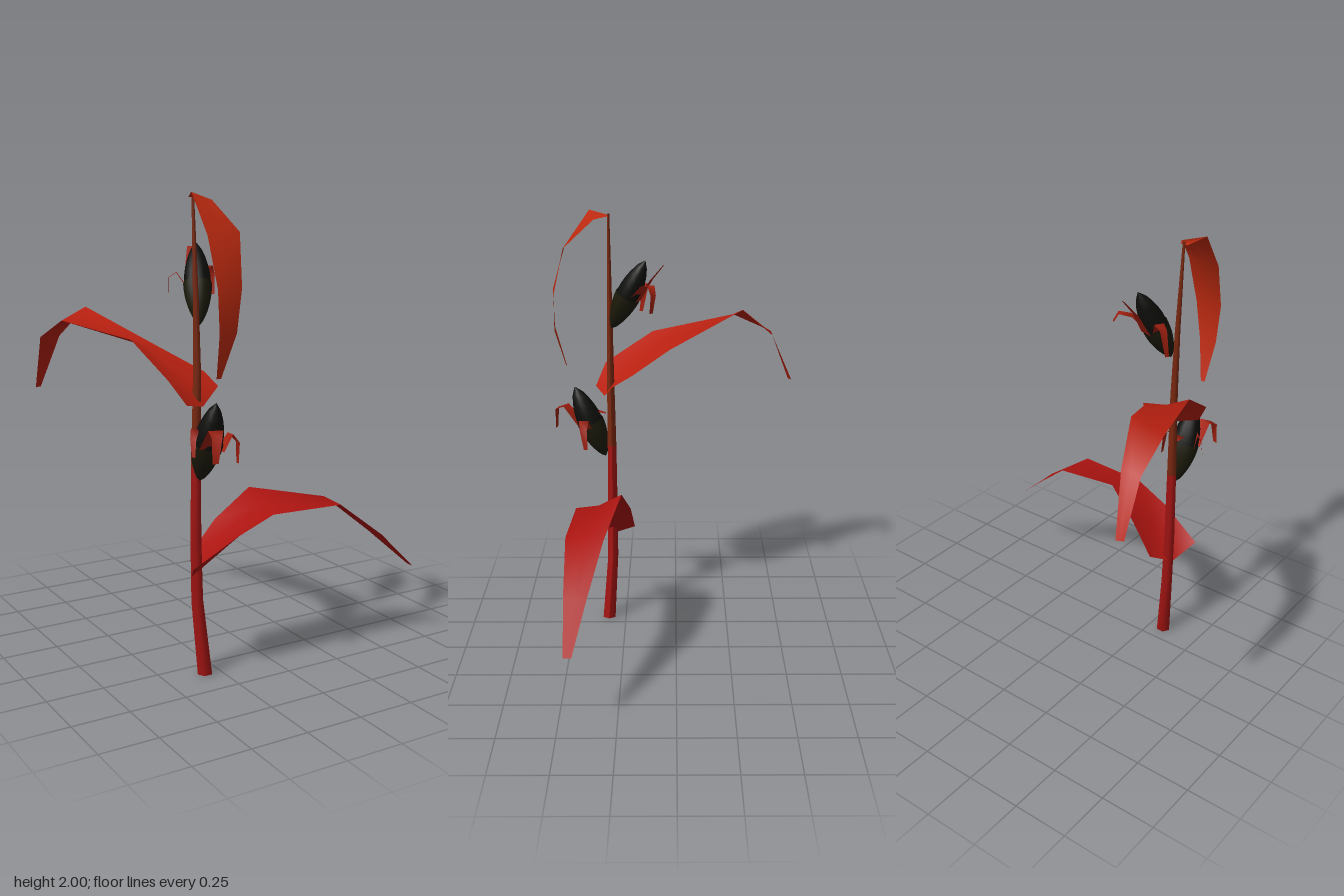
import * as THREE from 'three';

const V = (p) => new THREE.Vector3(...p);
const paint = (color) => new THREE.MeshStandardMaterial({ color, side: THREE.DoubleSide });

// Surface through rows of points, every row having the same count
function loft(name, rows, material) {
  const n = rows[0].length, index = [];
  for (let i = 0; i < rows.length - 1; i++)
    for (let j = 0; j < n - 1; j++) {
      const a = i * n + j, b = a + n;
      index.push(a, b, a + 1, a + 1, b, b + 1);
    }
  const geo = new THREE.BufferGeometry().setFromPoints(rows.flat());
  geo.setIndex(index);
  geo.computeVertexNormals();
  const mesh = new THREE.Mesh(geo, material);
  mesh.name = name;
  return mesh;
}

// Leaf blade: each section is [one edge, other edge, depth of the middle fold]
function blade(name, sections, material) {
  return loft(name, sections.map(([a, b, sag = 0]) => {
    const l = V(a), r = V(b), m = l.clone().lerp(r, 0.5);
    m.y -= sag;
    return [l, m, r];
  }), material);
}

// Narrow peeled husk strip along a path, tapering to its end
function strip(path, width, material) {
  const pts = path.map(V);
  const out = pts[pts.length - 1].clone().sub(pts[0]).setY(0).normalize();
  const side = new THREE.Vector3(-out.z, 0, out.x);
  const rows = pts.map((p, i) => {
    const w = width * (1 - 0.7 * i / (pts.length - 1)) / 2;
    return [p.clone().addScaledVector(side, -w), p.clone().addScaledVector(side, w)];
  });
  return loft('huskTip', rows, material);
}

// Ear: dark cob, husk cup round its lower part and peeled husk tips
function ear(name, base, top, radius, tips) {
  const group = new THREE.Group();
  group.name = name;
  const from = V(base), axis = V(top).sub(from), len = axis.length();
  const turn = new THREE.Quaternion().setFromUnitVectors(new THREE.Vector3(0, 1, 0), axis.normalize());
  const shell = (part, end, r, color) => {
    const profile = [];
    for (let i = 0; i <= 10; i++) {
      const t = end * i / 10;
      profile.push(new THREE.Vector2(r * Math.pow(Math.sin(Math.PI * t), 0.7) + 1e-4, t * len));
    }
    const mesh = new THREE.Mesh(new THREE.LatheGeometry(profile, 12), paint(color));
    mesh.name = part;
    mesh.position.copy(from);
    mesh.quaternion.copy(turn);
    group.add(mesh);
  };
  shell('cob', 1, radius, 0x0e0e0c);
  shell('huskCup', 0.5, radius * 1.06, 0x1c1a0a);
  const red = paint(0xa02010);
  tips.forEach(([width, ...path]) => group.add(strip(path, width, red)));
  return group;
}

export function createModel() {
  const model = new THREE.Group();

  // Stalk: hexagonal rings, lower part redder than the upper
  const ring = ([x, y, z, r]) => Array.from({ length: 7 }, (_, k) => {
    const a = (k % 6) * Math.PI / 3;
    return new THREE.Vector3(x + r * Math.cos(a), y, z + r * Math.sin(a));
  });
  const lower = [[-0.318, 0, 0.333, 0.034], [-0.34, 0.32, 0.31, 0.028], [-0.343, 0.57, 0.307, 0.026], [-0.34, 0.9, 0.305, 0.023]];
  const upper = [[-0.34, 0.9, 0.305, 0.023], [-0.332, 1.3, 0.305, 0.018], [-0.335, 1.6, 0.303, 0.013], [-0.345, 1.99, 0.302, 0.006]];
  model.add(loft('lowerStalk', lower.map(ring), paint(0xa01412)));
  model.add(loft('upperStalk', upper.map(ring), paint(0x7a2810)));
  const foot = new THREE.Mesh(new THREE.CircleGeometry(0.034, 6), paint(0xa01412));
  foot.name = 'stalkFoot';
  foot.position.set(-0.318, 0, 0.333);
  foot.rotation.x = Math.PI / 2;
  model.add(foot);

  // Leaves
  model.add(blade('lowerLeaf', [
    [[-0.42, 0.50, 0.42], [-0.31, 0.49, 0.20], 0.065],
    [[-0.22, 0.62, 0.45], [-0.20, 0.63, 0.215], 0.02],
    [[-0.06, 0.69, 0.46], [-0.05, 0.76, 0.25], 0.02],
    [[0.27, 0.69, 0.48], [0.30, 0.685, 0.315]],
    [[0.50, 0.52, 0.475], [0.50, 0.515, 0.375]],
    [[0.69, 0.34, 0.465], [0.69, 0.34, 0.43]],
  ], paint(0xac1410)));
  model.add(blade('middleLeaf', [
    [[-0.42, 1.17, 0.38], [-0.225, 1.22, 0.29], 0.045],
    [[-0.48, 1.27, 0.335], [-0.24, 1.27, 0.20], 0.03],
    [[-0.53, 1.41, 0.11], [-0.36, 1.36, 0.03], 0.01],
    [[-0.67, 1.46, -0.28], [-0.54, 1.51, -0.32]],
    [[-0.695, 1.37, -0.47], [-0.605, 1.37, -0.47]],
    [[-0.69, 1.13, -0.56], [-0.66, 1.13, -0.575]],
  ], paint(0xb82010)));
  model.add(blade('topLeaf', [
    [[-0.365, 1.98, 0.30], [-0.33, 1.98, 0.30]],
    [[-0.40, 2.0, 0.39], [-0.295, 1.97, 0.365]],
    [[-0.395, 1.84, 0.505], [-0.25, 1.85, 0.50]],
    [[-0.385, 1.64, 0.565], [-0.27, 1.64, 0.55]],
    [[-0.375, 1.47, 0.56], [-0.295, 1.47, 0.555]],
    [[-0.36, 1.29, 0.51], [-0.34, 1.29, 0.51]],
  ], paint(0xbc2a10)));

  // Ears, each tip given as width followed by its path
  model.add(ear('lowerEar', [-0.34, 0.845, 0.335], [-0.34, 1.19, 0.475], 0.06, [
    [0.06, [-0.29, 0.98, 0.42], [-0.25, 1.05, 0.43], [-0.215, 1.01, 0.43], [-0.21, 0.92, 0.42]],
    [0.08, [-0.36, 1.0, 0.45], [-0.37, 1.09, 0.52], [-0.39, 1.07, 0.565], [-0.40, 0.97, 0.57]],
    [0.05, [-0.38, 0.99, 0.40], [-0.40, 1.08, 0.41], [-0.415, 1.04, 0.42], [-0.42, 0.97, 0.43]],
    [0.06, [-0.34, 0.98, 0.35], [-0.34, 1.07, 0.37], [-0.34, 1.06, 0.33]],
  ]));
  model.add(ear('upperEar', [-0.315, 1.475, 0.295], [-0.24, 1.80, 0.135], 0.055, [
    [0.06, [-0.25, 1.62, 0.19], [-0.21, 1.69, 0.14], [-0.165, 1.70, 0.11], [-0.145, 1.66, 0.10], [-0.148, 1.58, 0.11]],
    [0.07, [-0.265, 1.61, 0.17], [-0.25, 1.71, 0.11], [-0.225, 1.78, 0.055]],
    [0.06, [-0.31, 1.61, 0.20], [-0.34, 1.68, 0.15], [-0.37, 1.66, 0.14], [-0.38, 1.54, 0.16]],
  ]));
  return model;
}
